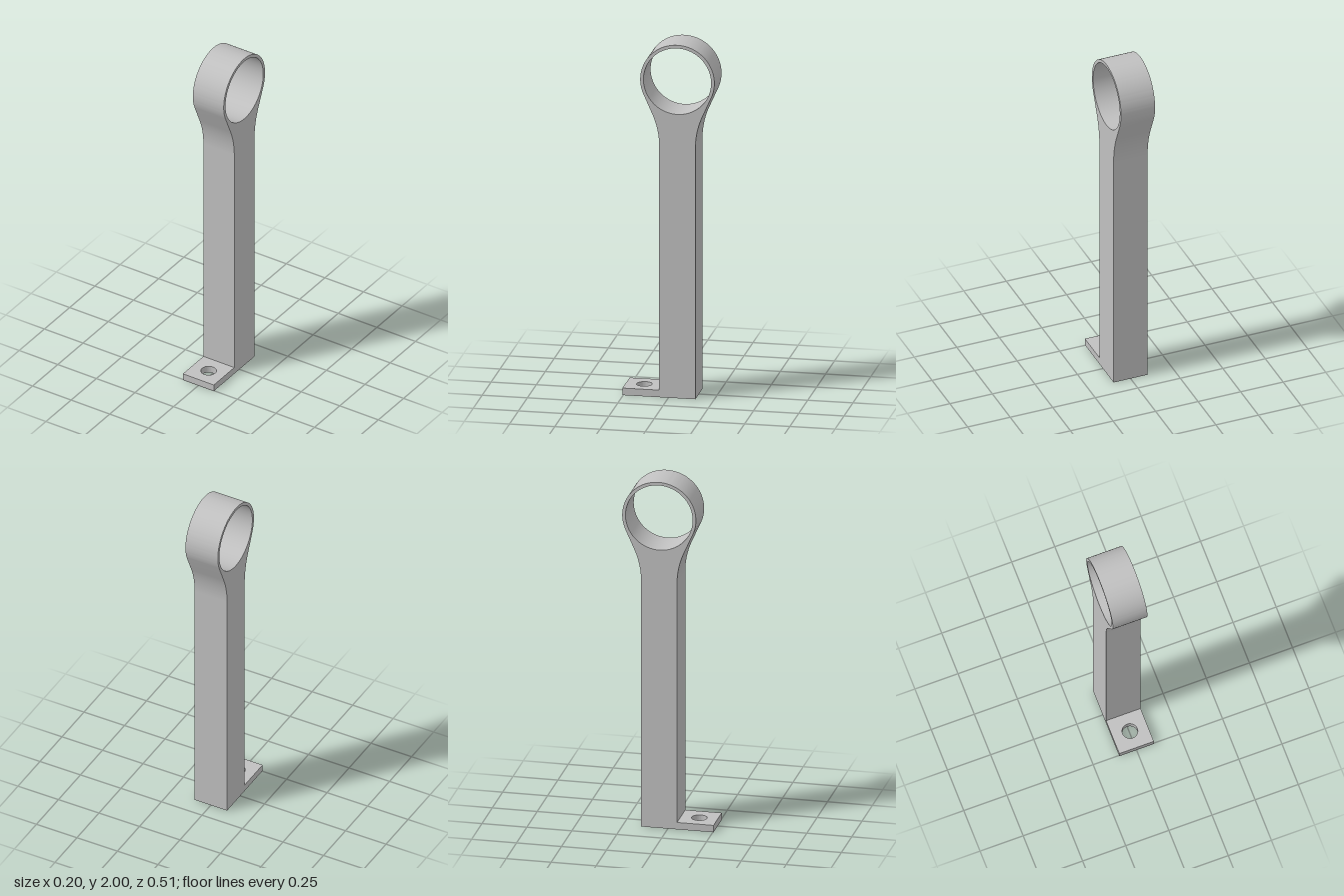
import * as THREE from 'three';
import { toCreasedNormals } from 'three/addons/utils/BufferGeometryUtils.js';

const WIDTH = 0.2, HALF = 0.1;          // post section
const POST_Z = -0.049;                  // post and ring centre line
const FOOT_FRONT = 0.254, FOOT_H = 0.04;
const RING_R = 0.205, BORE_R = 0.187, RING_Y = 2 - RING_R;
const POCKET = 0.082;                   // half size of the hollow in the post

// Neck: fillet from the post side, then a straight run tangent to the ring
const TILT = THREE.MathUtils.degToRad(24), FILLET = 0.44;
const filletEndX = HALF + FILLET * (1 - Math.cos(TILT));
const filletEndY = RING_Y - RING_R * Math.sin(TILT)
  - (RING_R * Math.cos(TILT) - filletEndX) / Math.tan(TILT);
const NECK_Y = filletEndY - FILLET * Math.sin(TILT);

function extrude(shape, depth) {
  return new THREE.ExtrudeGeometry(shape, { depth, bevelEnabled: false, curveSegments: 48 });
}

// Rectangle in plan, as x and -z
function rectangle(path, halfX, zBack, zFront) {
  path.moveTo(-halfX, -zFront);
  path.lineTo(halfX, -zFront);
  path.lineTo(halfX, -zBack);
  path.lineTo(-halfX, -zBack);
  path.closePath();
  return path;
}

function pocketHole() {
  return rectangle(new THREE.Path(), POCKET, POST_Z - POCKET, POST_Z + POCKET);
}

export function createModel() {
  const group = new THREE.Group();
  group.name = 'ringBracket';
  const metal = new THREE.MeshStandardMaterial({ color: 0xc0c0c0 });
  metal.name = 'grey metal';

  const add = (name, geometry) => {
    const mesh = new THREE.Mesh(toCreasedNormals(geometry, 0.35), metal);
    mesh.name = name;
    group.add(mesh);
  };

  // Ring and flared neck, drawn in side profile
  const head = new THREE.Shape();
  head.moveTo(-HALF, NECK_Y);
  head.lineTo(HALF, NECK_Y);
  head.absarc(HALF + FILLET, NECK_Y, FILLET, Math.PI, Math.PI - TILT, true);
  head.absarc(0, RING_Y, RING_R, -TILT, Math.PI + TILT, false);
  head.absarc(-HALF - FILLET, NECK_Y, FILLET, TILT, 0, true);
  const bore = new THREE.Path();
  bore.absarc(0, RING_Y, BORE_R, 0, Math.PI * 2, true);
  head.holes.push(bore);
  add('ringAndNeck', extrude(head, WIDTH)
    .translate(0, 0, -HALF).rotateY(Math.PI / 2).translate(0, 0, POST_Z));

  // Hollow square post
  const post = rectangle(new THREE.Shape(), HALF, POST_Z - HALF, POST_Z + HALF);
  post.holes.push(pocketHole());
  add('post', extrude(post, NECK_Y - FOOT_H).rotateX(-Math.PI / 2).translate(0, FOOT_H, 0));

  // Foot plate with the post opening and a bolt hole
  const foot = rectangle(new THREE.Shape(), HALF, POST_Z - HALF, FOOT_FRONT);
  const bolt = new THREE.Path();
  bolt.absarc(0, -(POST_Z + HALF + FOOT_FRONT) / 2, 0.0425, 0, Math.PI * 2, true);
  foot.holes.push(pocketHole(), bolt);
  add('footPlate', extrude(foot, FOOT_H).rotateX(-Math.PI / 2));

  return group;
}
